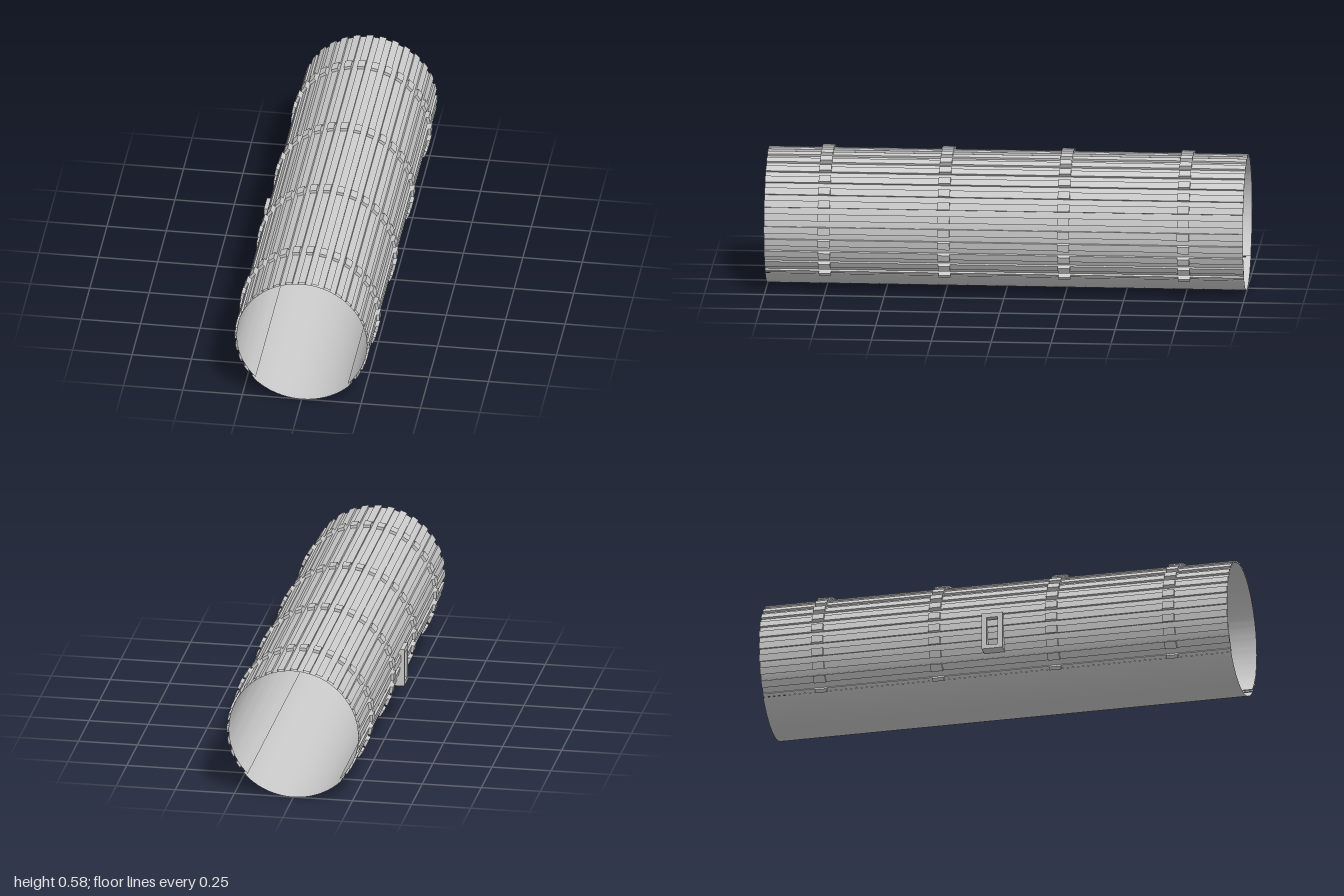
import * as THREE from 'three';

const AXIS_Y = 0.285, LENGTH = 2;
const RIDGE_R = 0.283, VALLEY_R = 0.274, BAND_R = 0.295;
const STEP = Math.PI / 16, HALF = THREE.MathUtils.degToRad(3);

const sheetMaterial = new THREE.MeshStandardMaterial({ color: 0xcccccc, side: THREE.DoubleSide });
const flatMaterial = new THREE.MeshStandardMaterial({ color: 0xcccccc, side: THREE.DoubleSide, flatShading: true });

// point on the tube's cross-section, angle measured from the crown towards +x
const polar = (r, a) => new THREE.Vector2(r * Math.sin(a), AXIS_Y + r * Math.cos(a));

function addMesh(parent, name, geometry, material = flatMaterial) {
  const mesh = new THREE.Mesh(geometry, material);
  mesh.name = name;
  parent.add(mesh);
  return mesh;
}

// open sheet: a cross-section line swept along z
function sweepSheet(points, length) {
  const pos = [], h = length / 2;
  for (let i = 0; i < points.length - 1; i++) {
    const a = points[i], b = points[i + 1];
    pos.push(a.x, a.y, h, b.x, b.y, h, b.x, b.y, -h);
    pos.push(a.x, a.y, h, b.x, b.y, -h, a.x, a.y, -h);
  }
  const g = new THREE.BufferGeometry();
  g.setAttribute('position', new THREE.Float32BufferAttribute(pos, 3));
  g.computeVertexNormals();
  return g;
}

// solid: closed outline extruded along z, centred on z
function prism(points, depth, z = 0) {
  const g = new THREE.ExtrudeGeometry(new THREE.Shape(points), { depth, bevelEnabled: false });
  return g.translate(0, 0, z - depth / 2);
}

// smooth open arc of tube, angle measured from the bottom
function tubeArc(r, start, sweep, segments) {
  return new THREE.CylinderGeometry(r, r, LENGTH, segments, 1, true, start, sweep)
    .rotateX(Math.PI / 2).translate(0, AXIS_Y, 0);
}

export function createModel() {
  const model = new THREE.Group();
  model.name = 'ribbedTunnel';

  // angular span of each ridge; the last one on either side is cut in half
  const ridges = [];
  for (let k = -12; k <= 12; k++) {
    ridges.push([k * STEP - (k === -12 ? 0 : HALF), k * STEP + (k === 12 ? 0 : HALF)]);
  }

  // corrugated outer skin
  const profile = [];
  ridges.forEach(([a, b], i) => {
    if (i > 0) profile.push(polar(VALLEY_R, a));
    profile.push(polar(RIDGE_R, a), polar(RIDGE_R, b));
    if (i < ridges.length - 1) profile.push(polar(VALLEY_R, b));
  });
  addMesh(model, 'corrugatedSkin', sweepSheet(profile, LENGTH));

  // smooth lining and smooth floor
  addMesh(model, 'lining', tubeArc(VALLEY_R, Math.PI / 4, Math.PI * 1.5, 72), sheetMaterial);
  addMesh(model, 'floor', tubeArc(AXIS_Y, -Math.PI / 4, Math.PI / 2, 32), sheetMaterial);

  // bands of raised blocks sitting on the ridges
  for (const z of [-0.75, -0.25, 0.25, 0.75]) {
    const band = new THREE.Group();
    band.name = 'band';
    band.position.z = z;
    for (const [a, b] of ridges) {
      const outline = [polar(RIDGE_R - 0.001, a), polar(BAND_R, a), polar(BAND_R, b), polar(RIDGE_R - 0.001, b)];
      addMesh(band, 'bandBlock', prism(outline, 0.05));
    }
    model.add(band);
  }

  // hatch frame on the right wall, its back following the tube
  const hatch = new THREE.Group();
  hatch.name = 'hatchFrame';
  const corner = (x, y) => new THREE.Vector2(x, y);
  const jamb = [
    corner(-0.297, 0.163), corner(-0.248, 0.163), corner(-0.265, 0.215),
    corner(-0.274, 0.27), corner(-0.272, 0.325), corner(-0.297, 0.325),
  ];
  for (const side of [-1, 1]) addMesh(hatch, 'hatchJamb', prism(jamb, 0.02, side * 0.034));
  addMesh(hatch, 'hatchLintel', prism([
    corner(-0.297, 0.305), corner(-0.273, 0.305), corner(-0.272, 0.325), corner(-0.297, 0.325),
  ], 0.05));
  addMesh(hatch, 'hatchSill', prism([
    corner(-0.297, 0.163), corner(-0.248, 0.163), corner(-0.254, 0.18), corner(-0.297, 0.18),
  ], 0.05));
  model.add(hatch);

  return model;
}
